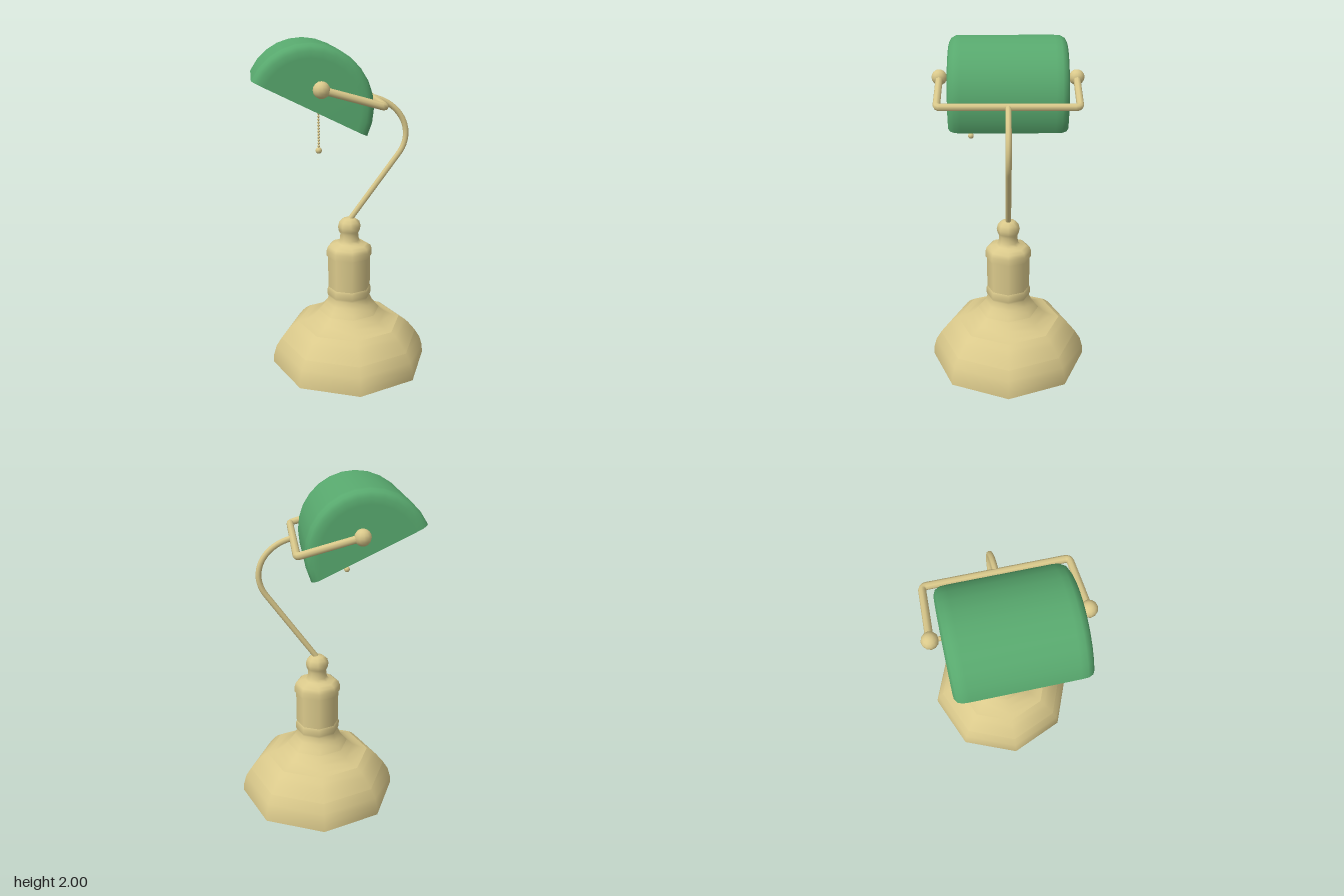
import * as THREE from 'three';

const mat = (name, color, side = THREE.FrontSide) => {
  const m = new THREE.MeshStandardMaterial({ color, side });
  m.name = name;
  return m;
};

const v2 = (list) => list.map(([r, y]) => new THREE.Vector2(r, y));
const v3 = (list) => list.map((p) => new THREE.Vector3(...p));

// Straight runs joined by small rounded corners
function roundedPath(list, radius) {
  const pts = v3(list);
  const path = new THREE.CurvePath();
  let from = pts[0];
  for (let i = 1; i < pts.length - 1; i++) {
    const a = pts[i].clone().add(pts[i - 1].clone().sub(pts[i]).setLength(radius));
    const b = pts[i].clone().add(pts[i + 1].clone().sub(pts[i]).setLength(radius));
    path.add(new THREE.LineCurve3(from, a));
    path.add(new THREE.QuadraticBezierCurve3(a, pts[i], b));
    from = b;
  }
  path.add(new THREE.LineCurve3(from, pts[pts.length - 1]));
  return path;
}

export function createModel() {
  const brass = mat('brass', 0xdac98b);
  const green = mat('green enamel', 0x58a96e);
  const lining = mat('pale lining', 0xd6dde6);
  const black = mat('black', 0x1c1c1c);
  const glass = mat('bulb glass', 0xe4e6e8);

  const lamp = new THREE.Group();
  lamp.name = 'deskLamp';
  const add = (name, geometry, material, x = 0, y = 0, z = 0, parent = lamp) => {
    const mesh = new THREE.Mesh(geometry, material);
    mesh.name = name;
    mesh.position.set(x, y, z);
    parent.add(mesh);
    return mesh;
  };

  // Eight-sided turned stand; separate profiles keep the steps crisp
  const stand = {
    baseUnderside: [[0, 0], [0.485, 0]],
    baseFoot: [[0.485, 0], [0.482, 0.05], [0.465, 0.11], [0.432, 0.163]],
    baseShoulder: [[0.432, 0.163], [0.415, 0.185], [0.385, 0.222], [0.355, 0.25], [0.322, 0.272]],
    baseDome: [[0.322, 0.272], [0.28, 0.283], [0.23, 0.307], [0.19, 0.345]],
    columnFlare: [[0.19, 0.345], [0.17, 0.37], [0.145, 0.4], [0.13, 0.435], [0.136, 0.45], [0.137, 0.485], [0.131, 0.5]],
    column: [[0.131, 0.5], [0.132, 0.705]],
    collarUnderside: [[0.128, 0.705], [0.141, 0.705]],
    collar: [[0.141, 0.705], [0.141, 0.74], [0.132, 0.765], [0.11, 0.779], [0.075, 0.788],
      [0.06, 0.805], [0.055, 0.845], [0.065, 0.865], [0.07, 0.892], [0.062, 0.922], [0.04, 0.94], [0, 0.948]],
  };
  for (const [name, profile] of Object.entries(stand)) {
    add(name, new THREE.LatheGeometry(v2(profile), 8), brass, 0.04);
  }

  // Bent arm rising from the stand
  const arm = new THREE.CurvePath();
  const [a, b, c, d, e] = v3([[0.04, 0.93, 0], [0.335, 1.335, 0], [0.43, 1.46, 0], [0.36, 1.63, 0], [0.18, 1.675, 0]]);
  arm.add(new THREE.LineCurve3(a, b));
  arm.add(new THREE.CubicBezierCurve3(b, c, d, e));
  add('arm', new THREE.TubeGeometry(arm, 40, 0.017, 8), brass);

  // Yoke holding the shade from both ends
  const pivot = { x: -0.165, y: 1.77, z: 0.403 };
  const yoke = roundedPath([
    [pivot.x, pivot.y, 0.403], [0.175, 1.675, 0.395], [0.175, 1.675, -0.395], [pivot.x, pivot.y, -0.403],
  ], 0.025);
  add('yoke', new THREE.TubeGeometry(yoke, 120, 0.021, 8), brass);
  for (const side of [1, -1]) {
    add('pivotKnob', new THREE.SphereGeometry(0.046, 12, 8), brass, pivot.x, pivot.y, side * pivot.z);
    const pin = new THREE.CylinderGeometry(0.013, 0.013, 0.1, 8).rotateX(Math.PI / 2);
    add('pivotPin', pin, brass, pivot.x, pivot.y, side * 0.355);
  }

  // Half-barrel shade with rounded ends and a pale inside
  const shade = new THREE.Group();
  shade.name = 'shade';
  shade.position.set(-0.215, 1.658, 0);
  shade.rotation.z = -0.457;
  lamp.add(shade);
  const halfBarrel = (inset) => {
    const end = [[0, 0.345], [0.27, 0.345], [0.305, 0.343], [0.331, 0.33], [0.344, 0.305], [0.346, 0.27]]
      .map(([r, z]) => [Math.max(r - inset, 0), z - inset]);
    return [...end.map(([r, z]) => [r, -z]), ...end.reverse()];
  };
  const barrelGeometry = (profile) =>
    new THREE.LatheGeometry(v2(profile), 14, -Math.PI / 2, Math.PI).rotateX(-Math.PI / 2);
  add('shadeShell', barrelGeometry(halfBarrel(0)), green, 0, 0, 0, shade);
  add('shadeLining', barrelGeometry(halfBarrel(0.005).reverse()), lining, 0, 0, 0, shade);

  // Ribbed socket and bulb lying along the shade
  const socketProfile = [[0, 0.12], [0.062, 0.12]];
  for (let i = 0; i < 6; i++) {
    const z = 0.13 + i * 0.034;
    socketProfile.push([0.062, z], [0.072, z + 0.009], [0.072, z + 0.018], [0.062, z + 0.027]);
  }
  socketProfile.push([0.045, 0.335]);
  add('socket', new THREE.LatheGeometry(v2(socketProfile), 14).rotateX(Math.PI / 2), black, pivot.x, pivot.y);
  const bulbProfile = [[0, -0.12], [0.04, -0.11], [0.07, -0.08], [0.082, -0.04], [0.075, 0.01], [0.055, 0.06], [0.045, 0.125]];
  add('bulb', new THREE.LatheGeometry(v2(bulbProfile), 16).rotateX(Math.PI / 2), glass, pivot.x, pivot.y);

  // Beaded pull chain
  const chain = new THREE.Group();
  chain.name = 'pullChain';
  chain.position.set(pivot.x, 0, 0.225);
  lamp.add(chain);
  for (let y = 1.44; y < 1.72; y += 0.0165) {
    add('chainBead', new THREE.SphereGeometry(0.0075, 8, 6), brass, 0, y, 0, chain);
  }
  add('chainCord', new THREE.CylinderGeometry(0.003, 0.003, 0.29, 6), brass, 0, 1.565, 0, chain);
  add('chainPull', new THREE.SphereGeometry(0.018, 10, 8), brass, 0, 1.415, 0, chain);

  return lamp;
}
